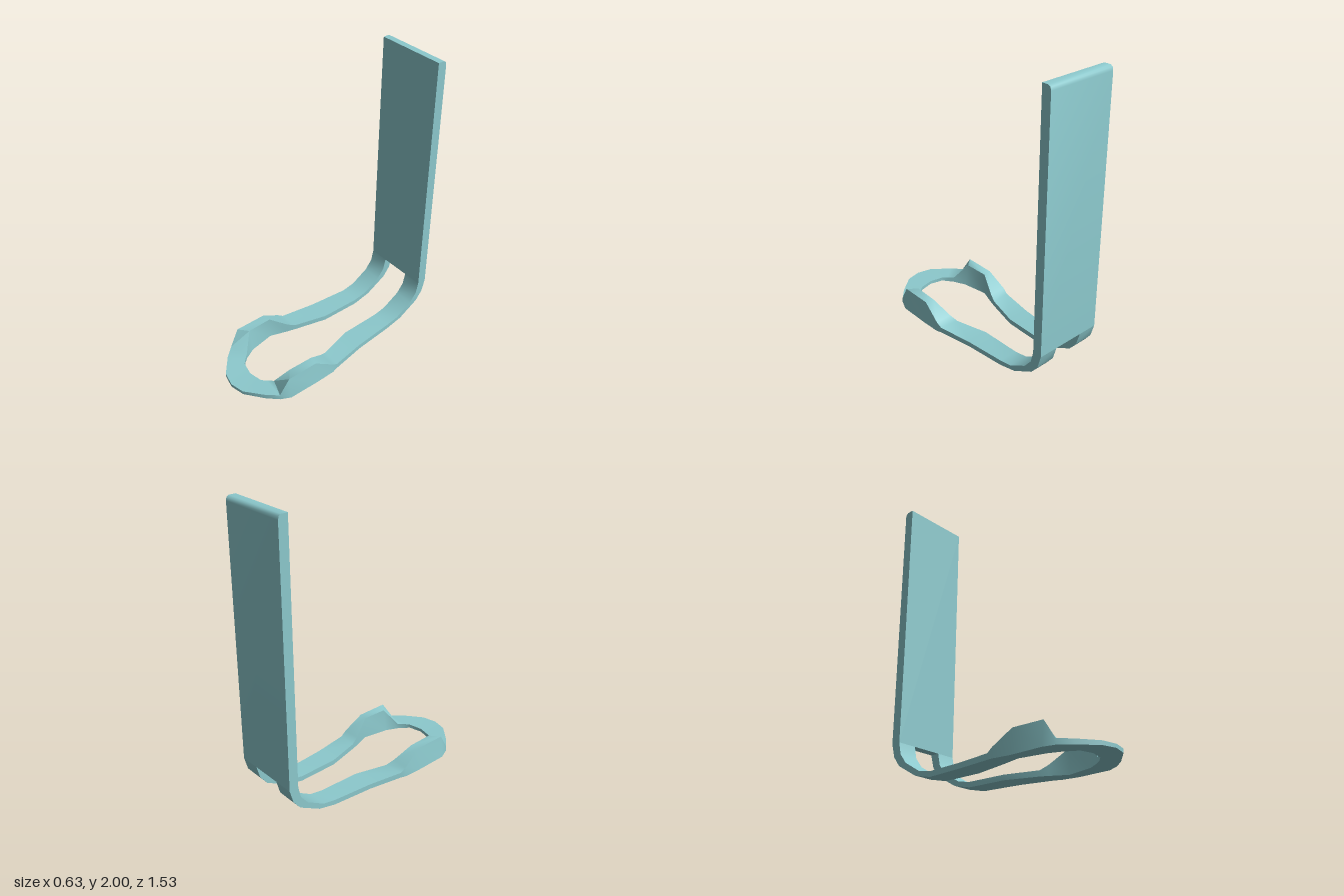
import * as THREE from 'three';
import { toCreasedNormals } from 'three/addons/utils/BufferGeometryUtils.js';

const material = new THREE.MeshStandardMaterial({ color: 0x8cc9cd });

// Upright plate: a side profile in (z, y), softened at the top back edge
function backPlate() {
  const profile = new THREE.Shape([
    [-0.70, 0.28], [-0.70, 2], [-0.745, 2], [-0.76, 1.99], [-0.765, 1.97], [-0.765, 0.28],
  ].map(([z, y]) => new THREE.Vector2(z, y)));
  const geometry = new THREE.ExtrudeGeometry(profile, { depth: 0.48, bevelEnabled: false });
  geometry.rotateY(-Math.PI / 2).translate(0.24, 0, 0);
  const mesh = new THREE.Mesh(toCreasedNormals(geometry, 0.9), material);
  mesh.name = 'backPlate';
  return mesh;
}

// Bend below the plate: z, y of the under side, then z, y of the upper side
const bend = [
  [-0.765, 0.28, -0.70, 0.28],
  [-0.74, 0.19, -0.682, 0.20],
  [-0.69, 0.125, -0.63, 0.135],
  [-0.54, 0.04, -0.505, 0.062],
].map(([zb, yb, zt, yt]) => [[0.24, yb, zb], [0.24, yt, zt], [0.105, yt, zt], [0.105, yb, zb]]);

// Foot loop with raised side wings:
// outer x, z, inner x, z, under y, top y, top outer x, top inner x
const foot = [
  [0.24, -0.41, 0.105, -0.41, 0.01, 0.045, 0.24, 0.105],
  [0.265, -0.13, 0.11, -0.13, 0.01, 0.045, 0.265, 0.11],
  [0.305, 0.11, 0.172, 0.10, 0.007, 0.045, 0.305, 0.172],
  [0.315, 0.15, 0.19, 0.155, 0.005, 0.072, 0.31, 0.19],
  [0.315, 0.285, 0.235, 0.275, 0, 0.16, 0.295, 0.235],
  [0.315, 0.505, 0.2, 0.45, 0.004, 0.16, 0.295, 0.23],
  [0.285, 0.575, 0.155, 0.53, 0.009, 0.045, 0.283, 0.157],
  [0.22, 0.645, 0.125, 0.565, 0.011, 0.044, 0.22, 0.125],
  [0.1, 0.742, 0.095, 0.592, 0.016, 0.042, 0.1, 0.095],
  [0, 0.765, 0, 0.612, 0.018, 0.041, 0, 0],
].map(([xo, zo, xi, zi, yb, yt, xto, xti]) =>
  [[xo, yb, zo], [xto, yt, zo], [xti, yt, zi], [xi, yb, zi]]);

// Skin the left half and its mirror image as one continuous strap
function footLoop() {
  const half = [...bend, ...foot];
  const mirrored = half.slice(0, -1).reverse()
    .map((section) => section.map(([x, y, z]) => [-x, y, z]));
  const sections = [...half, ...mirrored];
  const positions = [];
  for (let i = 0; i < sections.length - 1; i++) {
    for (let j = 0; j < 4; j++) {
      const k = (j + 1) % 4;
      const a = sections[i][j], b = sections[i][k];
      const c = sections[i + 1][k], d = sections[i + 1][j];
      positions.push(...a, ...b, ...c, ...a, ...c, ...d);
    }
  }
  const geometry = new THREE.BufferGeometry();
  geometry.setAttribute('position', new THREE.Float32BufferAttribute(positions, 3));
  const mesh = new THREE.Mesh(toCreasedNormals(geometry, 0.9), material);
  mesh.name = 'footLoop';
  return mesh;
}

export function createModel() {
  const group = new THREE.Group();
  group.name = 'bentBracket';
  group.add(backPlate(), footLoop());
  return group;
}
